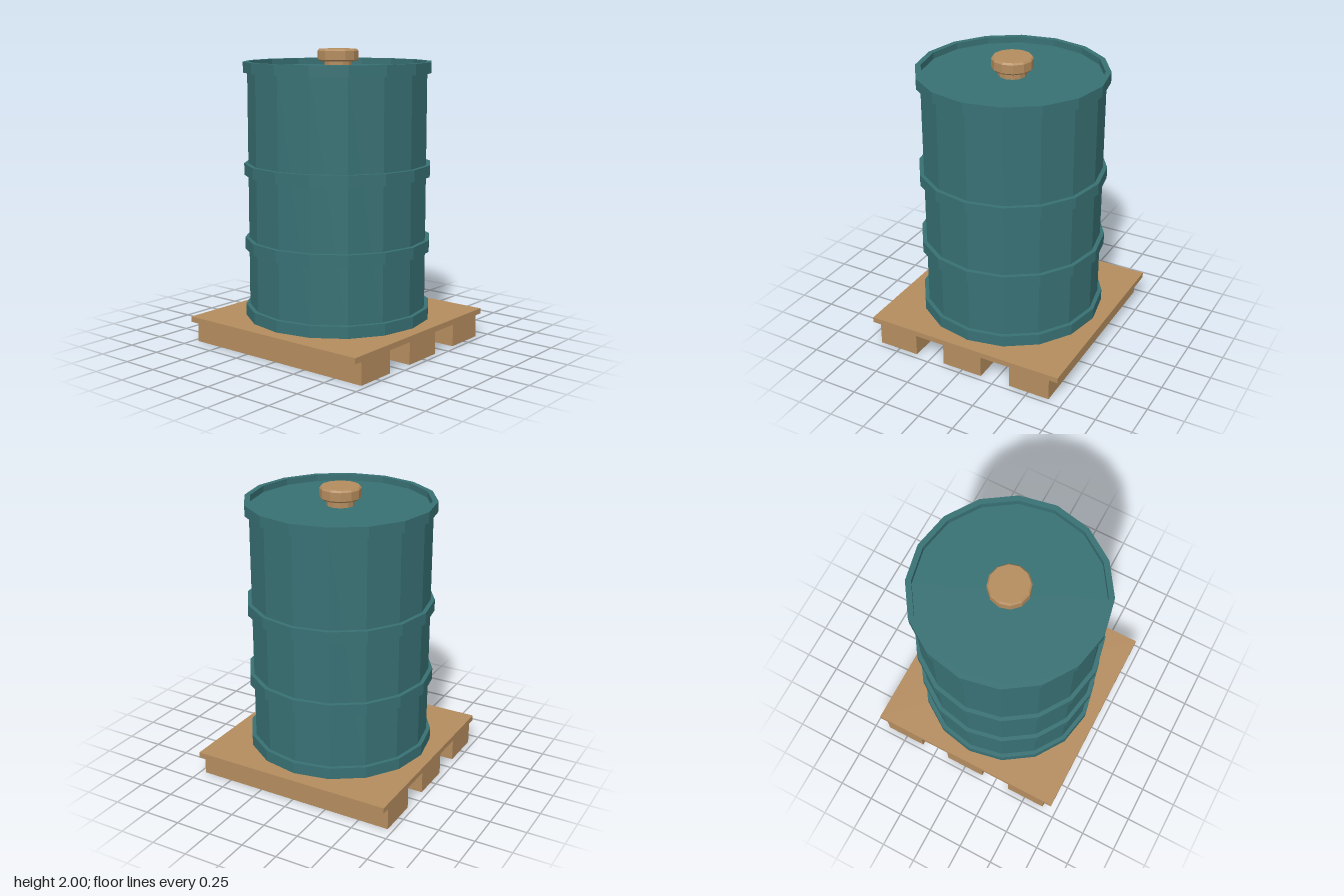
import * as THREE from 'three';

export function createModel() {
  const model = new THREE.Group();
  const teal = new THREE.MeshStandardMaterial({ color: 0x387174, flatShading: true });
  teal.name = 'teal paint';
  const wood = new THREE.MeshStandardMaterial({ color: 0xb58d5f, flatShading: true });
  wood.name = 'wood';

  const add = (name, geometry, material, parent, x = 0, y = 0, z = 0) => {
    const mesh = new THREE.Mesh(geometry, material);
    mesh.name = name;
    mesh.position.set(x, y, z);
    parent.add(mesh);
  };
  const lathe = (points, sides) =>
    new THREE.LatheGeometry(points.map(([r, y]) => new THREE.Vector2(r, y)), sides);

  // Pallet: a thin deck on three runners
  const pallet = new THREE.Group();
  pallet.name = 'pallet';
  model.add(pallet);
  add('deck', new THREE.BoxGeometry(1.424, 0.038, 1.424), wood, pallet, 0, 0.171);
  for (const x of [-0.505, 0, 0.505]) {
    add('runner', new THREE.BoxGeometry(0.29, 0.152, 1.424), wood, pallet, x, 0.076);
  }

  // Sixteen-sided barrel with a sunken lid
  const barrel = new THREE.Group();
  barrel.name = 'barrel';
  model.add(barrel);
  const sides = 16, bodyR = 0.604, hoopR = 0.632, lidY = 1.875;
  add('body', lathe([[0, 0.192], [bodyR, 0.192], [bodyR, lidY], [0, lidY]], sides), teal, barrel);

  // Raised hoops; the top one forms the rim around the lid
  const hoop = (name, low, high, innerR) =>
    add(name, lathe([[innerR, low], [hoopR, low], [hoopR, high], [innerR, high], [innerR, low]], sides), teal, barrel);
  hoop('bottomHoop', 0.194, 0.273, 0.595);
  hoop('lowerHoop', 0.658, 0.737, 0.595);
  hoop('upperHoop', 1.164, 1.242, 0.595);
  hoop('topRim', 1.846, 1.918, 0.595);

  // Bung: narrow neck and a bevelled cap
  add('bung', lathe([
    [0.092, lidY], [0.092, 1.92], [0.127, 1.92], [0.137, 1.93],
    [0.137, 1.988], [0.127, 2], [0, 2],
  ], 12), wood, model);

  return model;
}
